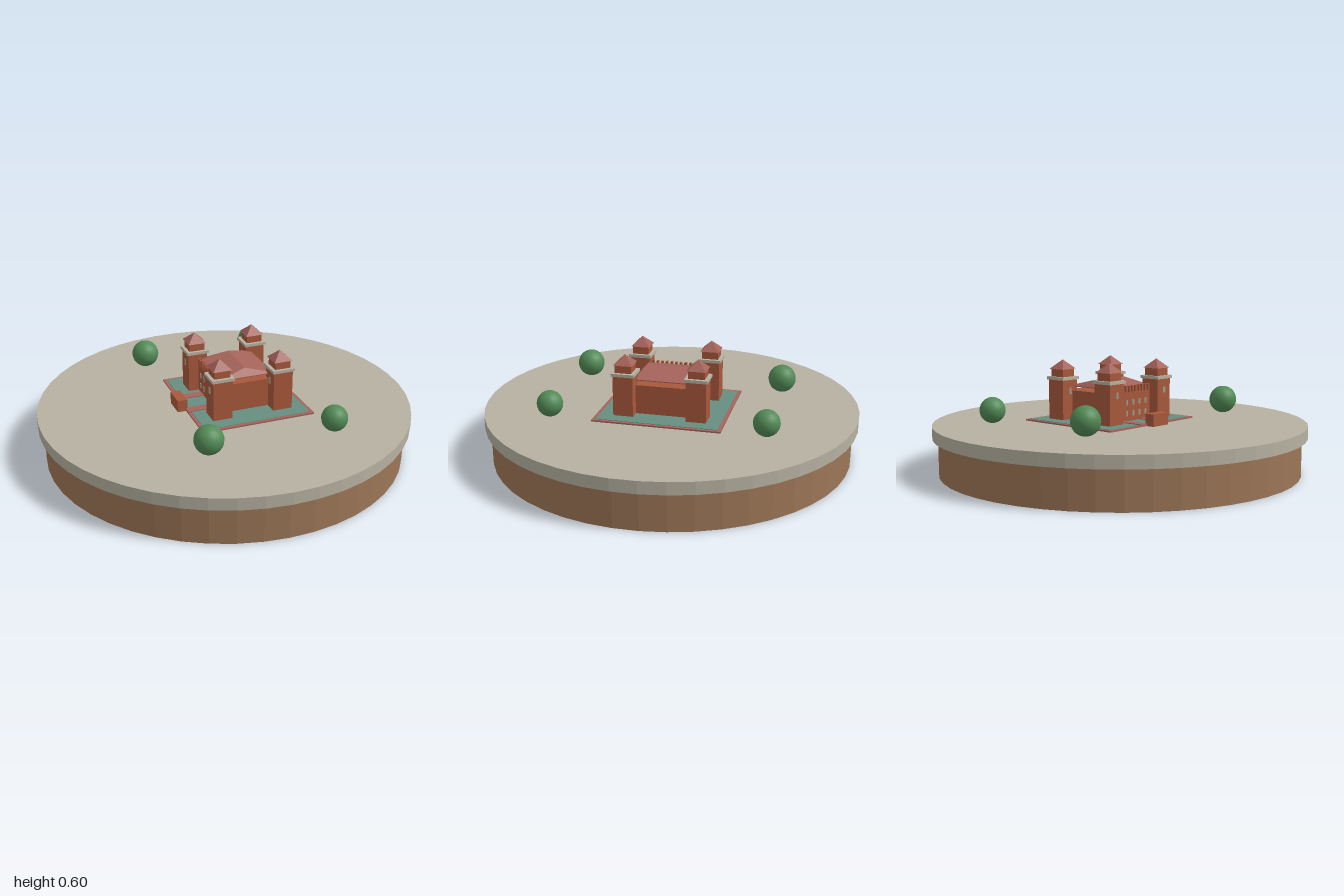
import * as THREE from 'three';

const mat = (name, color, flat = true) => {
  const m = new THREE.MeshStandardMaterial({ color, flatShading: flat });
  m.name = name;
  return m;
};

export function createModel() {
  const earth = mat('earth', 0x9c7657);
  const stone = mat('stone', 0xb6b1a1);
  const brick = mat('brick', 0xa8583c);
  const tile = mat('roofTile', 0xa5635a);
  const water = mat('moatWater', 0x668e82);
  const leaf = mat('foliage', 0x528a56, false);
  const pane = mat('windowStone', 0xa39683);

  const model = new THREE.Group();
  model.name = 'castleIsland';

  const add = (parent, name, geo, m, x, y, z) => {
    const mesh = new THREE.Mesh(geo, m);
    mesh.name = name;
    mesh.position.set(x, y, z);
    parent.add(mesh);
    return mesh;
  };
  // box placed by its bottom and top heights
  const box = (parent, name, m, w, d, y0, y1, x = 0, z = 0) =>
    add(parent, name, new THREE.BoxGeometry(w, y1 - y0, d), m, x, (y0 + y1) / 2, z);

  // round plinth
  add(model, 'earthBase', new THREE.CylinderGeometry(0.97, 0.97, 0.2, 48), earth, 0, 0.1, 0);
  add(model, 'stonePlateau', new THREE.CylinderGeometry(1, 1, 0.065, 48), stone, 0, 0.2325, 0);

  // round trees: x, z, radius
  for (const [x, z, r] of [[-0.62, 0.067, 0.075], [-0.405, -0.555, 0.068], [0.42, 0.46, 0.075], [0.65, -0.17, 0.068]]) {
    add(model, 'tree', new THREE.SphereGeometry(r, 20, 14), leaf, x, 0.278 + r, z);
  }

  // castle, turned on the plateau
  const castle = new THREE.Group();
  castle.name = 'castle';
  castle.position.set(0.021, 0, -0.067);
  castle.rotation.y = -THREE.MathUtils.degToRad(20);
  model.add(castle);

  // moat with its kerb and two causeways
  box(castle, 'moatKerb', tile, 0.675, 0.618, 0.264, 0.273);
  box(castle, 'moat', water, 0.639, 0.582, 0.27, 0.275);
  for (const s of [-1, 1]) box(castle, 'causeway', tile, 0.05, 0.15, 0.27, 0.279, s * 0.08, 0.235);
  box(castle, 'gatehouse', brick, 0.12, 0.054, 0.264, 0.33, 0.004, 0.327);

  // central block
  box(castle, 'keep', brick, 0.345, 0.33, 0.264, 0.43);

  // parapet posts along the front
  for (let i = 0; i < 11; i++) box(castle, 'merlon', brick, 0.013, 0.018, 0.429, 0.463, (i - 5) * 0.026, 0.159);

  // hipped roof: box whose top is drawn in to a ridge
  const roofGeo = new THREE.BoxGeometry(0.315, 0.036, 0.295);
  const p = roofGeo.attributes.position;
  for (let i = 0; i < p.count; i++) {
    if (p.getY(i) > 0) p.setXYZ(i, Math.sign(p.getX(i)) * 0.12, p.getY(i), 0);
  }
  roofGeo.computeVertexNormals();
  add(castle, 'keepRoof', roofGeo, tile, 0, 0.472, 0);
  box(castle, 'roofEave', tile, 0.315, 0.295, 0.449, 0.454);

  // front windows in two rows
  for (const y of [0.315, 0.375]) {
    for (let i = -2; i <= 2; i++) box(castle, 'window', pane, 0.014, 0.006, y - 0.014, y + 0.014, i * 0.05, 0.166);
  }

  // corner towers
  for (const sx of [-1, 1]) for (const sz of [-1, 1]) {
    const tower = new THREE.Group();
    tower.name = 'tower';
    tower.position.set(sx * 0.192, 0, sz * 0.168);
    castle.add(tower);
    box(tower, 'towerShaft', brick, 0.106, 0.106, 0.264, 0.489);
    box(tower, 'towerCornice', stone, 0.122, 0.122, 0.488, 0.504);
    box(tower, 'towerLantern', brick, 0.086, 0.086, 0.503, 0.546);
    const cap = new THREE.ConeGeometry(0.101 * Math.SQRT1_2, 0.05, 4).rotateY(Math.PI / 4);
    add(tower, 'towerRoof', cap, tile, 0, 0.57, 0);
    box(tower, 'towerWindow', pane, 0.018, 0.006, 0.412, 0.445, 0, 0.054);
  }
  return model;
}
